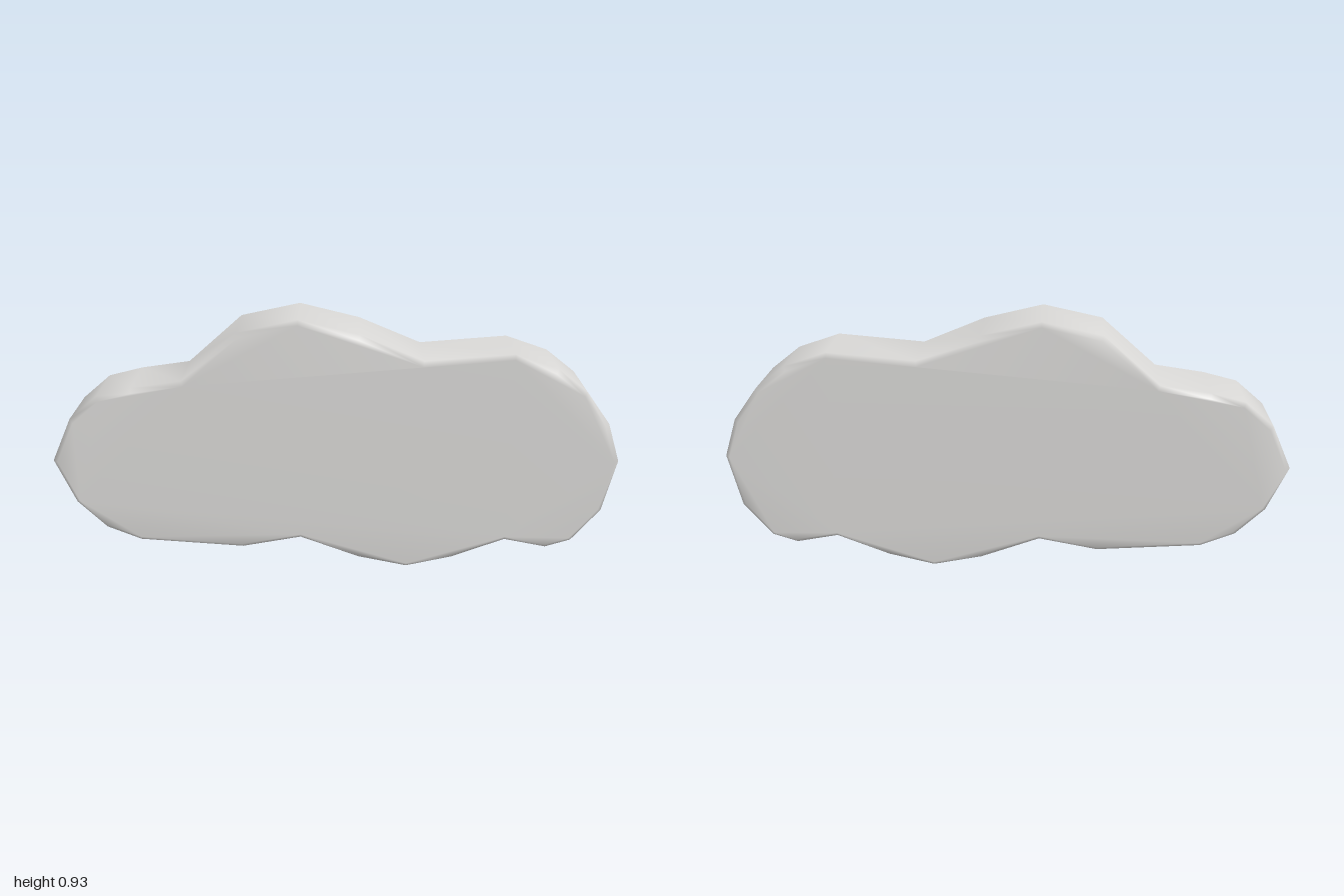
import * as THREE from 'three';
import { mergeVertices } from 'three/addons/utils/BufferGeometryUtils.js';

// Cloud outline, clockwise from the left tip
const OUTLINE = [
  [-1, 0.42], [-0.93, 0.575], [-0.83, 0.66], [-0.71, 0.69], [-0.535, 0.715],
  [-0.34, 0.887], [-0.13, 0.932], [0.08, 0.88], [0.30, 0.787], [0.61, 0.812],
  [0.76, 0.76], [0.865, 0.677], [0.95, 0.56], [0.995, 0.42], [0.95, 0.23],
  [0.85, 0.11], [0.76, 0.082], [0.61, 0.112], [0.42, 0.04], [0.255, 0.003],
  [0.08, 0.04], [-0.13, 0.12], [-0.34, 0.082], [-0.71, 0.11], [-0.83, 0.16],
  [-0.93, 0.26],
];
const HALF_DEPTH = 0.132;
const BEVEL = 0.016;

export function createModel() {
  const group = new THREE.Group();
  group.name = 'cloud';

  const cloudGrey = new THREE.MeshStandardMaterial({ color: 0xd9d8d6 });
  cloudGrey.name = 'cloud grey';

  // Thick slab with a narrow chamfer cut inward from the outline
  const shape = new THREE.Shape(OUTLINE.map(([x, y]) => new THREE.Vector2(x, y)));
  let geometry = new THREE.ExtrudeGeometry(shape, {
    depth: 2 * (HALF_DEPTH - BEVEL),
    bevelEnabled: true,
    bevelThickness: BEVEL,
    bevelSize: BEVEL,
    bevelOffset: -BEVEL,
    bevelSegments: 1,
  });
  geometry.translate(0, 0, BEVEL - HALF_DEPTH);

  // Share vertices so the chamfer shades smoothly into sides and faces
  geometry.deleteAttribute('uv');
  geometry.deleteAttribute('normal');
  geometry = mergeVertices(geometry, 1e-4);
  geometry.clearGroups();
  geometry.computeVertexNormals();

  const body = new THREE.Mesh(geometry, cloudGrey);
  body.name = 'cloudBody';
  group.add(body);
  return group;
}
